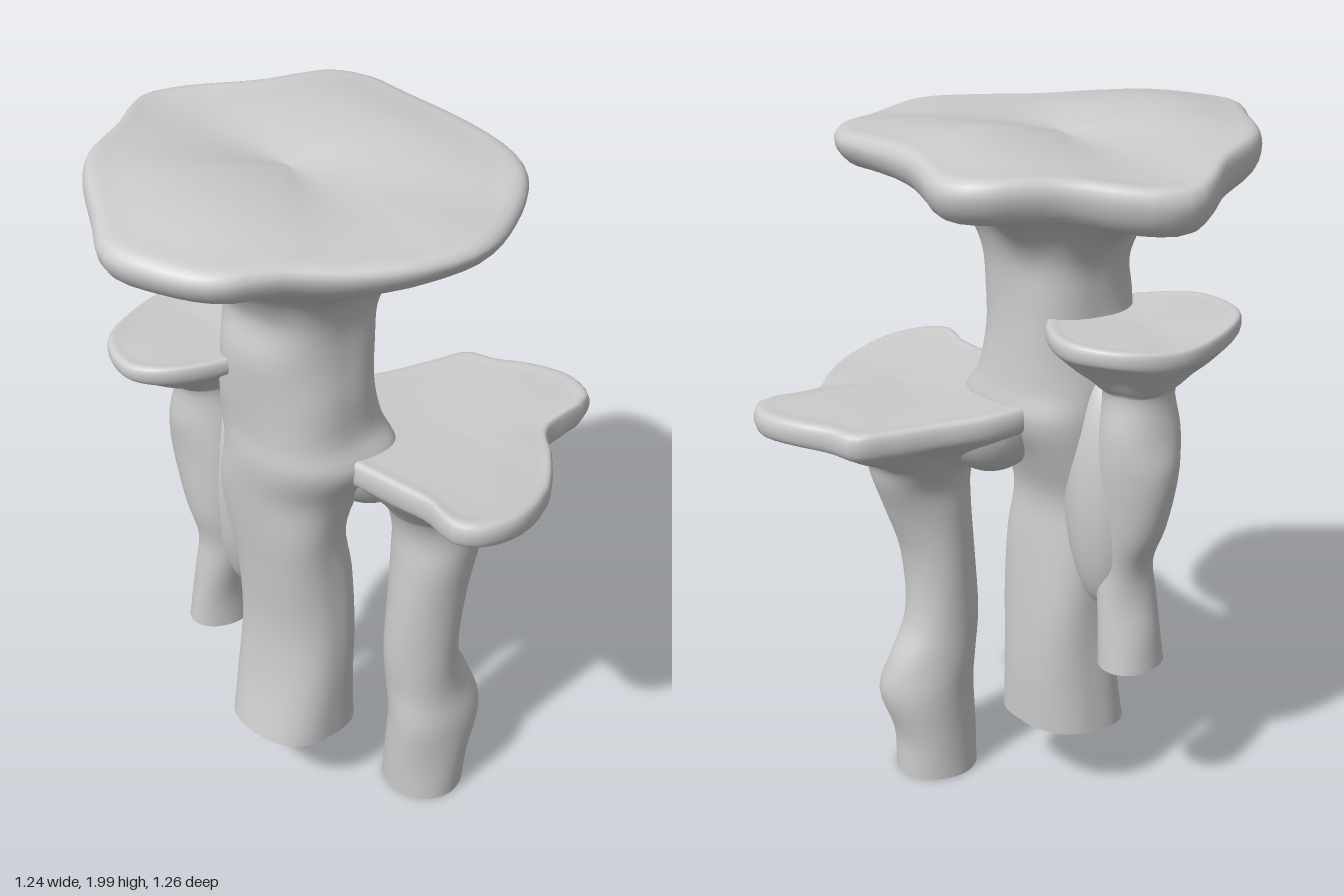
import * as THREE from 'three';

const SIDES = 80;
const material = new THREE.MeshStandardMaterial({ color: 0xcccccc, side: THREE.DoubleSide });
const V = (x, y, z) => new THREE.Vector3(x, y, z);

// Returns a function giving the rim point of a closed outline at an angle around its centre
function rimSampler(outline, [cx, cz]) {
  const curve = new THREE.CatmullRomCurve3(outline.map(p => V(...p)), true);
  const pts = curve.getPoints(600).map(p => ({ p, a: Math.atan2(p.z - cz, p.x - cx) }));
  return angle => {
    const gap = q => Math.abs(Math.atan2(Math.sin(q.a - angle), Math.cos(q.a - angle)));
    const near = pts.reduce((best, q) => (gap(q) < gap(best) ? q : best)).p;
    const r = Math.hypot(near.x - cx, near.z - cz);
    return V(cx + r * Math.cos(angle), near.y, cz + r * Math.sin(angle));
  };
}

// One continuous skin: open stem, flaring underside, rounded rim, dished top
// stem rows: [y, xMin, xMax, zMin, zMax]; outline rows: [x, rimTopY, z]
// flare rows: [share of the way out, share of the way up]
// skew leans the oval stem diagonally, roundness below 1 squares it, taper thins the front of the rim
function mushroom(name, { stem, skew = 0, roundness = 1, flare, sag = 0, outline, centre, lip, taper = 0, dishY, bulge, seed }) {
  const rimAt = rimSampler(outline, centre);
  const squared = v => Math.sign(v) * Math.abs(v) ** roundness;
  const columns = [];
  for (let i = 0; i < SIDES; i++) {
    const a = (i / SIDES) * Math.PI * 2, c = squared(Math.cos(a)), s = squared(Math.sin(a + skew));
    const rim = rimAt(a), edge = lip * (1 - taper * Math.sin(a));
    const col = stem.map(([y, x0, x1, z0, z1], k) => {
      const lump = 1 + 0.02 * Math.sin(3 * a + k * 1.9 + seed);
      return V((x0 + x1) / 2 + (x1 - x0) / 2 * c * lump, y, (z0 + z1) / 2 + (z1 - z0) / 2 * s * lump);
    });
    const neck = col[col.length - 1];
    // Underside with shallow folds, sagging toward the front
    for (const [t, f] of flare) {
      const p = neck.clone().lerp(rim, t);
      p.y = neck.y + (rim.y - edge - neck.y) * f
        + (0.01 * Math.sin(5 * a + seed) - sag * Math.max(0, Math.sin(a))) * Math.sin(Math.PI * t);
      col.push(p);
    }
    // Rim and top
    col.push(V(rim.x, rim.y - edge * 0.4, rim.z));
    for (const t of [0.97, 0.85, 0.6, 0.3, 0]) {
      const y = dishY + (rim.y - dishY) * t * t + bulge * Math.sin(Math.PI * t) * Math.cos(a) ** 2;
      col.push(V(centre[0] + (rim.x - centre[0]) * t, y, centre[1] + (rim.z - centre[1]) * t));
    }
    columns.push(new THREE.CatmullRomCurve3(col).getPoints((col.length - 1) * 4));
  }

  const rows = columns[0].length, position = [], index = [];
  columns.forEach(col => col.forEach(p => position.push(p.x, p.y, p.z)));
  for (let i = 0; i < SIDES; i++) {
    for (let j = 0; j < rows - 1; j++) {
      const p = i * rows + j, q = ((i + 1) % SIDES) * rows + j;
      index.push(p, p + 1, q);
      if (j < rows - 2) index.push(q, p + 1, q + 1);
    }
  }
  const geometry = new THREE.BufferGeometry();
  geometry.setAttribute('position', new THREE.Float32BufferAttribute(position, 3));
  geometry.setIndex(index);
  geometry.computeVertexNormals();
  const mesh = new THREE.Mesh(geometry, material);
  mesh.name = name;
  return mesh;
}

// Rounded flesh where two mushrooms have grown together; from = polar angle where the skin starts
function bridge(name, position, scale, from) {
  const mesh = new THREE.Mesh(new THREE.SphereGeometry(1, 32, 24, 0, Math.PI * 2, from, Math.PI - from), material);
  mesh.name = name;
  mesh.position.set(...position);
  mesh.scale.set(...scale);
  return mesh;
}

export function createModel() {
  const group = new THREE.Group();
  group.name = 'mushroomCluster';
  const softFlare = [[0.13, 0.16], [0.33, 0.4], [0.6, 0.64], [0.85, 0.86], [0.97, 0.98]];

  group.add(mushroom('tallMushroom', {
    stem: [
      [0.23, -0.265, 0.02, -0.17, 0.14], [0.4, -0.23, 0.02, -0.17, 0.14],
      [0.6, -0.21, 0.015, -0.17, 0.14], [0.8, -0.225, 0.0, -0.175, 0.14],
      [0.95, -0.245, -0.015, -0.185, 0.14], [1.08, -0.255, 0.03, -0.195, 0.16],
      [1.2, -0.26, 0.095, -0.19, 0.225], [1.28, -0.26, 0.075, -0.185, 0.19],
      [1.4, -0.265, 0.06, -0.175, 0.175], [1.52, -0.265, 0.06, -0.17, 0.165],
      [1.62, -0.25, 0.065, -0.18, 0.17]
    ],
    skew: 0.22, roundness: 0.8,
    flare: [[0.08, 0.28], [0.2, 0.49], [0.42, 0.7], [0.7, 0.87], [0.93, 0.975]],
    sag: 0.025,
    outline: [
      [-0.05, 1.94, -0.63], [0.05, 1.94, -0.6], [0.21, 1.955, -0.455], [0.38, 1.955, -0.37],
      [0.43, 1.95, -0.28], [0.405, 1.965, -0.1], [0.41, 1.955, 0.1], [0.4, 1.94, 0.24],
      [0.34, 1.935, 0.34], [0.2, 1.92, 0.43], [0.02, 1.925, 0.49], [-0.14, 1.92, 0.445],
      [-0.28, 1.92, 0.355], [-0.39, 1.93, 0.265], [-0.53, 1.93, 0.18], [-0.6, 1.935, 0.04],
      [-0.62, 1.94, -0.08], [-0.54, 1.95, -0.22], [-0.4, 1.965, -0.42], [-0.22, 1.96, -0.52]
    ],
    centre: [-0.06, -0.07], lip: 0.075, taper: 0.35, dishY: 1.945, bulge: 0.04, seed: 0.4
  }));

  group.add(mushroom('frontMushroom', {
    stem: [
      [0, 0.025, 0.26, 0.145, 0.38], [0.12, 0.025, 0.265, 0.145, 0.385],
      [0.27, 0.02, 0.305, 0.15, 0.39], [0.38, 0.02, 0.275, 0.15, 0.365],
      [0.5, 0.015, 0.225, 0.15, 0.36], [0.7, 0.02, 0.225, 0.15, 0.37],
      [0.85, 0.025, 0.27, 0.15, 0.38], [0.95, 0.03, 0.31, 0.14, 0.385],
      [1.02, 0.015, 0.335, 0.105, 0.41]
    ],
    flare: softFlare,
    outline: [
      [0.42, 1.22, 0.01], [0.5, 1.22, 0.04], [0.53, 1.22, 0.12], [0.58, 1.22, 0.2],
      [0.62, 1.215, 0.32], [0.58, 1.21, 0.41], [0.4, 1.2, 0.42], [0.32, 1.2, 0.5],
      [0.2, 1.2, 0.59], [0.04, 1.215, 0.63], [-0.07, 1.225, 0.6], [-0.11, 1.23, 0.54],
      [-0.09, 1.23, 0.45], [-0.1, 1.23, 0.3], [-0.11, 1.235, 0.1], [0, 1.24, -0.07],
      [0.13, 1.235, -0.08], [0.29, 1.225, -0.03]
    ],
    centre: [0.2, 0.28], lip: 0.06, dishY: 1.215, bulge: 0.004, seed: 2.1
  }));

  group.add(mushroom('backMushroom', {
    stem: [
      [0.5, -0.26, -0.07, -0.345, -0.185], [0.6, -0.255, -0.075, -0.33, -0.185],
      [0.7, -0.25, -0.08, -0.31, -0.17], [0.8, -0.24, -0.08, -0.31, -0.14],
      [0.92, -0.26, -0.07, -0.355, -0.13], [1.1, -0.27, -0.06, -0.39, -0.14],
      [1.2, -0.275, -0.06, -0.375, -0.16], [1.31, -0.265, -0.07, -0.355, -0.18]
    ],
    flare: softFlare,
    outline: [
      [-0.46, 1.48, -0.25], [-0.42, 1.485, -0.36], [-0.3, 1.475, -0.43], [-0.15, 1.47, -0.46],
      [-0.02, 1.48, -0.42], [0.07, 1.485, -0.3], [0.065, 1.485, -0.2], [0, 1.485, -0.1],
      [-0.15, 1.485, -0.05], [-0.33, 1.485, -0.1], [-0.43, 1.485, -0.17]
    ],
    centre: [-0.18, -0.27], lip: 0.04, dishY: 1.475, bulge: 0.003, seed: 4.3
  }));

  group.add(bridge('frontBridge', [0.05, 1.2, 0.1], [0.16, 0.2, 0.17], Math.PI / 2));
  group.add(bridge('backBridge', [-0.135, 0.99, -0.18], [0.105, 0.34, 0.125], 0));
  return group;
}
